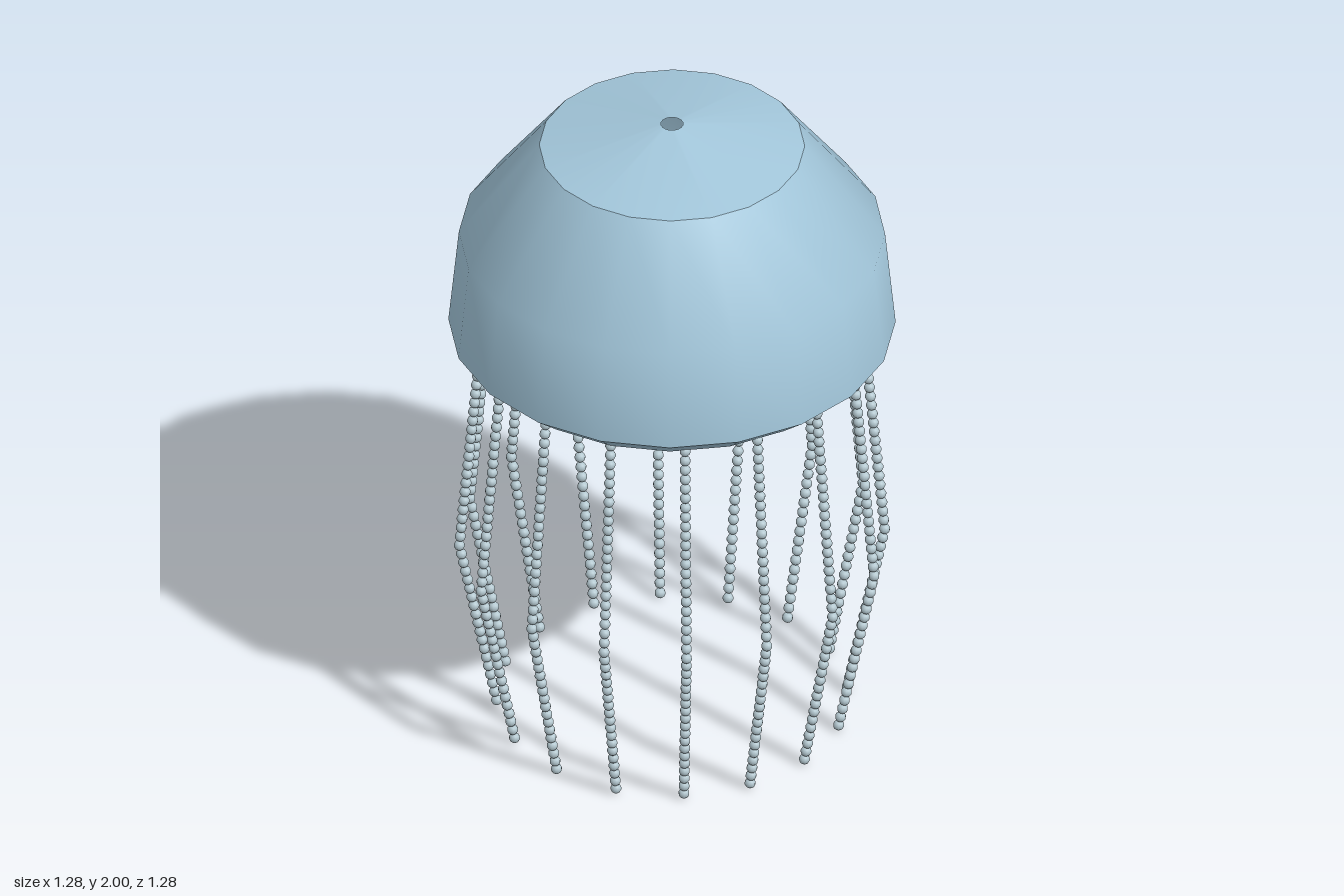
import * as THREE from 'three';
import { mergeGeometries, toCreasedNormals } from 'three/addons/utils/BufferGeometryUtils.js';

const bellBlue = new THREE.MeshStandardMaterial({ name: 'bellBlue', color: 0xa2c6da, side: THREE.DoubleSide });
const beadGrey = new THREE.MeshStandardMaterial({ name: 'beadGrey', color: 0xb4c8d0 });
const coreRed = new THREE.MeshStandardMaterial({ name: 'coreRed', color: 0xc24654 });

const BEAD_RADIUS = 0.016;
const TENTACLES = 16;

function addMesh(parent, name, geometry, material) {
  const mesh = new THREE.Mesh(geometry, material);
  mesh.name = name;
  parent.add(mesh);
  return mesh;
}

// Evenly spaced beads along a bent strand lying in the x/y plane
function makeStrand() {
  const path = [[0.55, 1.24], [0.61, 0.56], [0.503, BEAD_RADIUS]];
  const counts = [22, 18];
  const bead = new THREE.SphereGeometry(BEAD_RADIUS, 10, 7);
  const beads = [];
  counts.forEach((count, s) => {
    const [a, b] = [path[s], path[s + 1]];
    const last = s === counts.length - 1 ? count : count - 1;
    for (let i = 0; i <= last; i++) {
      const t = i / count;
      beads.push(bead.clone().translate(
        THREE.MathUtils.lerp(a[0], b[0], t), THREE.MathUtils.lerp(a[1], b[1], t), 0));
    }
  });
  return mergeGeometries(beads);
}

export function createModel() {
  const model = new THREE.Group();
  model.name = 'jellyfish';

  // Open faceted bell with an inward lip and a small hole at the crown
  const profile = [[0.55, 1.24], [0.64, 1.315], [0.61, 1.62], [0.38, 1.925], [0.032, 2]]
    .map(([x, y]) => new THREE.Vector2(x, y));
  const bell = new THREE.LatheGeometry(profile, 20);
  addMesh(model, 'bell', toCreasedNormals(bell, THREE.MathUtils.degToRad(36)), bellBlue);

  // Round core hanging inside the bell
  const core = addMesh(model, 'core', new THREE.SphereGeometry(0.225, 24, 16), coreRed);
  core.position.y = 1.62;

  // Ring of beaded tentacles
  const tentacles = new THREE.Group();
  tentacles.name = 'tentacles';
  const strand = makeStrand();
  for (let i = 0; i < TENTACLES; i++) {
    const tentacle = addMesh(tentacles, `tentacle${i + 1}`, strand, beadGrey);
    tentacle.rotation.y = (i / TENTACLES) * Math.PI * 2;
  }
  model.add(tentacles);

  return model;
}
